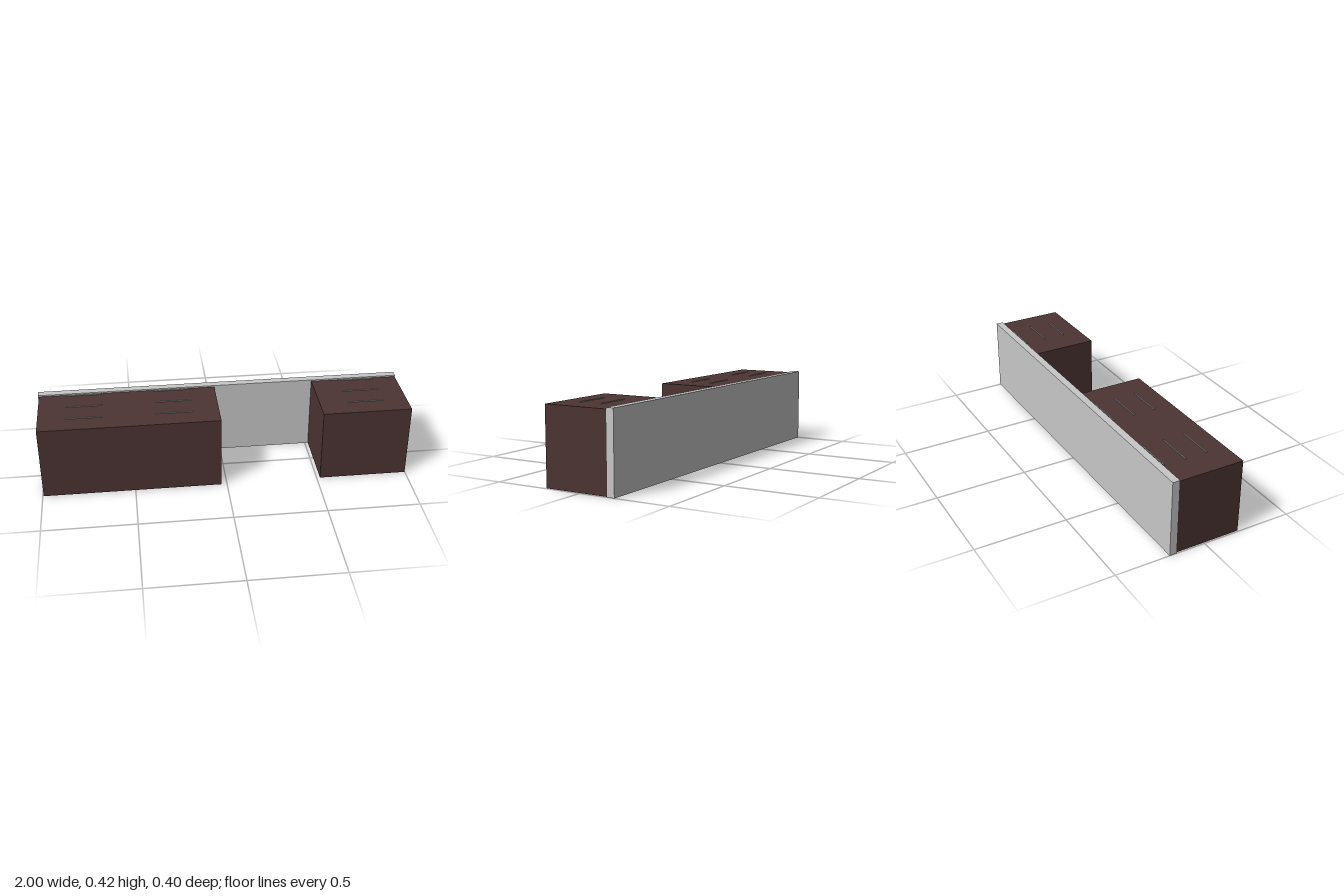
import * as THREE from 'three';

export function createModel() {
  const model = new THREE.Group();
  const wallGrey = new THREE.MeshStandardMaterial({ color: 0xc8c8c8 });
  const darkBrown = new THREE.MeshStandardMaterial({ color: 0x4d3434 });
  const slatGrey = new THREE.MeshStandardMaterial({ color: 0xa2a29e });

  // Box given by its extents along each axis
  function box(name, material, [x0, x1], [y0, y1], [z0, z1]) {
    const mesh = new THREE.Mesh(new THREE.BoxGeometry(x1 - x0, y1 - y0, z1 - z0), material);
    mesh.position.set((x0 + x1) / 2, (y0 + y1) / 2, (z0 + z1) / 2);
    mesh.name = name;
    model.add(mesh);
  }

  // Back panel
  box('backPanel', wallGrey, [-1, 1], [0, 0.42], [-0.2, -0.16]);

  // Long and short cabinets in front of the panel
  const top = 0.412;
  box('longCabinet', darkBrown, [-0.995, -0.03], [0.002, top], [-0.16, 0.2]);
  box('shortCabinet', darkBrown, [0.518, 0.998], [0.002, top], [-0.16, 0.2]);

  // Three thin slats in each group on the cabinet tops
  for (const x of [-0.75, -0.27, 0.77]) {
    for (const z of [-0.15, -0.031, 0.09]) {
      box('topSlat', slatGrey, [x - 0.098, x + 0.098], [top - 0.001, top + 0.005], [z - 0.0025, z + 0.0025]);
    }
  }

  return model;
}
